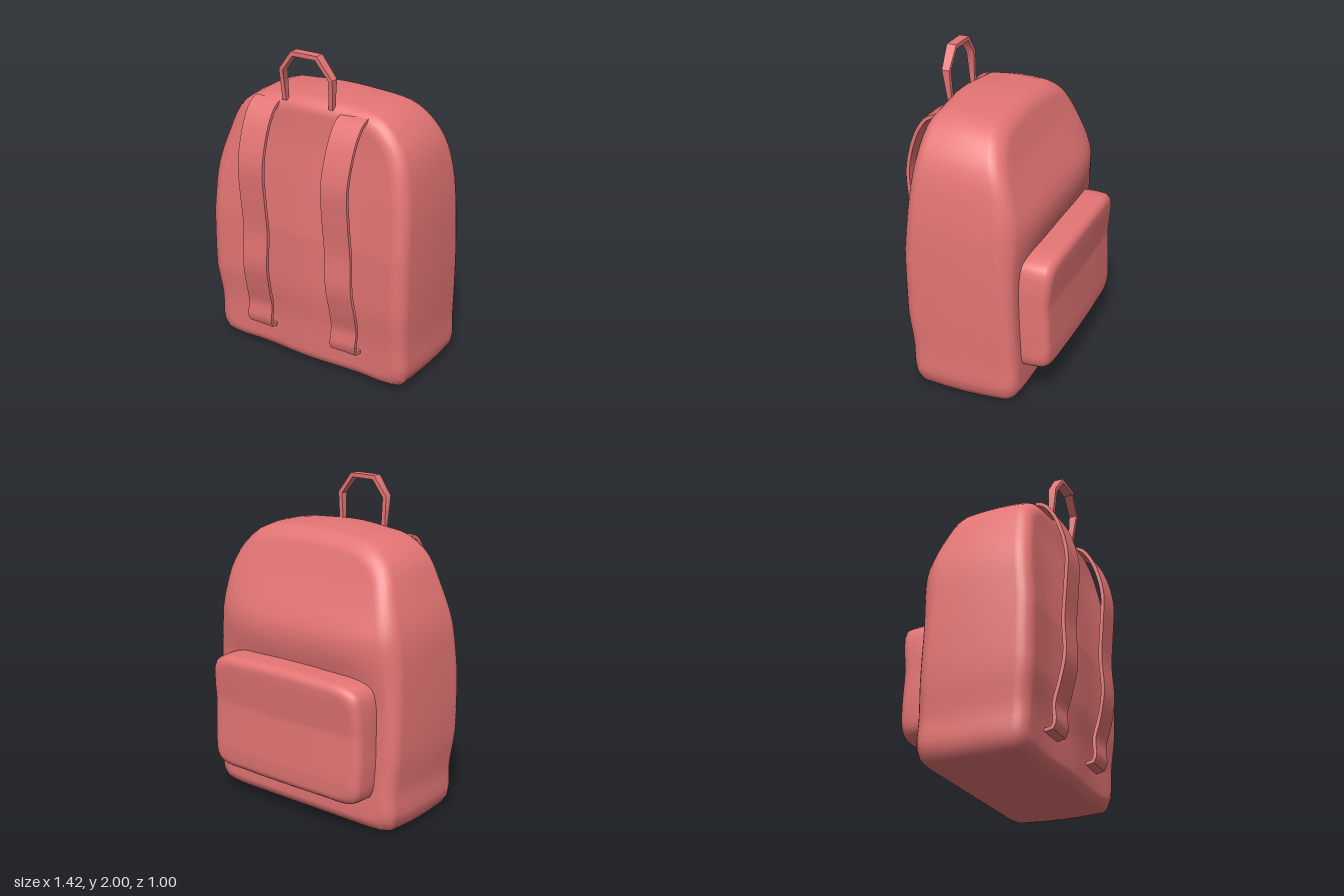
import * as THREE from 'three';
import { toCreasedNormals } from 'three/addons/utils/BufferGeometryUtils.js';

const material = new THREE.MeshStandardMaterial({ color: 0xe57575, side: THREE.DoubleSide });

// Linear lookup in a list of [key, value] pairs
function lookup(table, v) {
  for (let i = 1; i < table.length; i++) {
    const [a, p] = table[i - 1], [b, q] = table[i];
    if (v <= b) return p + (q - p) * Math.max(0, (v - a) / (b - a));
  }
  return table[table.length - 1][1];
}

function buildGrid(rings, closedLoop = true) {
  const n = rings[0].length, index = [];
  for (let i = 0; i + 1 < rings.length; i++) {
    for (let j = 0; j < (closedLoop ? n : n - 1); j++) {
      const a = i * n + j, b = i * n + (j + 1) % n;
      index.push(a, a + n, b, b, a + n, b + n);
    }
  }
  const geo = new THREE.BufferGeometry();
  geo.setAttribute('position', new THREE.Float32BufferAttribute(rings.flat(2), 3));
  geo.setIndex(index);
  return geo;
}

// Soft padded block: an outline seen from +z, lofted between two curved faces
function pillow({ outline, radius, front, back, bulge }) {
  const curve = new THREE.CatmullRomCurve3(
    outline.map(([x, y]) => new THREE.Vector3(x, y, 0)), true, 'centripetal');
  const pts = curve.getSpacedPoints(96).slice(0, -1);
  const box = new THREE.Box3().setFromPoints(pts);
  const c = box.getCenter(new THREE.Vector3());
  const half = box.getSize(new THREE.Vector3()).multiplyScalar(0.5);

  // One half of the section: cap centre, flat cap, rounded edge
  const profile = [];
  for (let i = 0; i < 12; i++) profile.push({ k: i / 12, d: radius, e: 0 });
  for (let i = 0; i <= 6; i++) {
    const a = (i / 6) * Math.PI / 2;
    profile.push({ k: 1, d: radius * (1 - Math.sin(a)), e: radius * (1 - Math.cos(a)) });
  }
  const steps = [
    ...profile.map(p => ({ ...p, t: 0 })),
    ...[0.25, 0.5, 0.75].map(t => ({ k: 1, d: -bulge * Math.sin(Math.PI * t), e: radius, t })),
    ...profile.reverse().map(p => ({ ...p, t: 1 })),
  ];
  return buildGrid(steps.map(({ k, d, e, t }) => pts.map(p => {
    const x = c.x + (p.x - c.x) * (1 - d / half.x) * k;
    const y = c.y + (p.y - c.y) * (1 - d / half.y) * k;
    return [x, y, THREE.MathUtils.lerp(front(x, y) - e, back(x, y) + e, t)];
  })));
}

// Flat band along a path, its width lying along the given axis
function band(points, axis, width, thickness, samples) {
  const vecs = points.map(p => new THREE.Vector3(...p));
  const path = samples
    ? new THREE.CatmullRomCurve3(vecs, false, 'centripetal').getSpacedPoints(samples) : vecs;
  const last = path.length - 1;
  const rings = path.map((p, i) => {
    const tangent = path[Math.min(i + 1, last)].clone().sub(path[Math.max(i - 1, 0)]);
    const normal = tangent.cross(axis).normalize();
    const w = (typeof width === 'function' ? width(i / last) : width) / 2;
    return [[-1, -1], [-1, 1], [1, 1], [1, -1]].map(([u, v]) => p.clone()
      .addScaledVector(axis, u * w).addScaledVector(normal, v * thickness / 2).toArray());
  });
  // Collapsed rings close both ends
  const mid = r => r.map(() => r[0].map((_, k) => (r[0][k] + r[2][k]) / 2));
  return toCreasedNormals(buildGrid([mid(rings[0]), ...rings, mid(rings[last])]), 0.7);
}

export function createModel() {
  const group = new THREE.Group();
  const add = (name, geo) => {
    if (!geo.attributes.normal) geo.computeVertexNormals();
    const mesh = new THREE.Mesh(geo, material);
    mesh.name = name;
    group.add(mesh);
  };

  // Main bag: arched outline, sloping and bulging at the upper back
  const frontZ = [[0, 0.35], [0.3, 0.36], [0.5, 0.385], [0.9, 0.39], [1.2, 0.365], [1.5, 0.335], [1.73, 0.33]];
  const backZ = [[0, -0.31], [0.1, -0.32], [0.9, -0.285], [1.2, -0.27], [1.4, -0.235], [1.6, -0.18], [1.73, -0.13]];
  add('bagBody', pillow({
    outline: [
      [0, 0.01], [0.35, 0.01], [0.58, 0.015], [0.66, 0.04], [0.69, 0.12], [0.69, 0.25], [0.7, 0.5],
      [0.705, 0.8], [0.69, 1.2], [0.64, 1.48], [0.57, 1.6], [0.46, 1.69], [0.2, 1.725], [0, 1.73],
      [-0.2, 1.715], [-0.37, 1.69], [-0.51, 1.59], [-0.6, 1.4], [-0.665, 1.2], [-0.69, 0.95],
      [-0.7, 0.5], [-0.68, 0.25], [-0.685, 0.12], [-0.66, 0.04], [-0.58, 0.015], [-0.35, 0.01],
    ],
    radius: 0.085, bulge: 0.008,
    front: (x, y) => lookup(frontZ, y) + 0.008 * Math.cos(x * 9),
    back: (x, y) => lookup(backZ, y)
      - 0.085 * Math.max(0, 1 - (x / 0.68) ** 4) * Math.exp(-(((y - 1.14) / 0.24) ** 2)),
  }));

  // Outer pocket low on the back
  const pocketZ = [[0.22, -0.47], [0.35, -0.475], [0.65, -0.46], [0.85, -0.48], [0.96, -0.485]];
  add('backPocket', pillow({
    outline: [
      [0, 0.22], [0.3, 0.22], [0.5, 0.225], [0.555, 0.26], [0.57, 0.4], [0.575, 0.6], [0.57, 0.8],
      [0.545, 0.9], [0.46, 0.94], [0.25, 0.955], [0, 0.96], [-0.25, 0.955], [-0.46, 0.94],
      [-0.54, 0.9], [-0.565, 0.8], [-0.57, 0.6], [-0.57, 0.4], [-0.55, 0.26], [-0.5, 0.225], [-0.3, 0.22],
    ],
    radius: 0.055, bulge: 0.004,
    front: () => -0.2,
    back: (x, y) => lookup(pocketZ, y) - 0.015 * Math.cos(x * 2.6),
  }));

  // Shoulder straps: arched clear of the bag, anchored top and bottom
  const strapPath = [
    [1.67, 0.3], [1.65, 0.35], [1.59, 0.4], [1.48, 0.45], [1.3, 0.49], [1.1, 0.48], [0.88, 0.462],
    [0.65, 0.468], [0.48, 0.435], [0.36, 0.405], [0.25, 0.41], [0.215, 0.395], [0.21, 0.33],
  ];
  const xAxis = new THREE.Vector3(1, 0, 0);
  const centres = {
    rightStrap: [[0.2, -0.31], [0.5, -0.295], [0.8, -0.28], [1.2, -0.285], [1.67, -0.285]],
    leftStrap: [[0.2, 0.305], [0.5, 0.325], [0.8, 0.31], [1.2, 0.3], [1.67, 0.315]],
  };
  for (const [name, centre] of Object.entries(centres)) {
    const points = strapPath.map(([y, z]) => [lookup(centre, y), y, z]);
    add(name, band(points, xAxis, 0.178, 0.022, 48));
  }

  // Angular carrying loop on top
  const loop = [
    [-0.155, 1.69, 0.31], [-0.16, 1.88, 0.325], [-0.075, 1.988, 0.33],
    [0.09, 1.988, 0.33], [0.18, 1.87, 0.325], [0.165, 1.69, 0.31],
  ];
  add('topHandle', band(loop, new THREE.Vector3(0, 0, 1),
    t => 0.028 + 0.034 * Math.sin(Math.PI * t), 0.028));

  return group;
}
